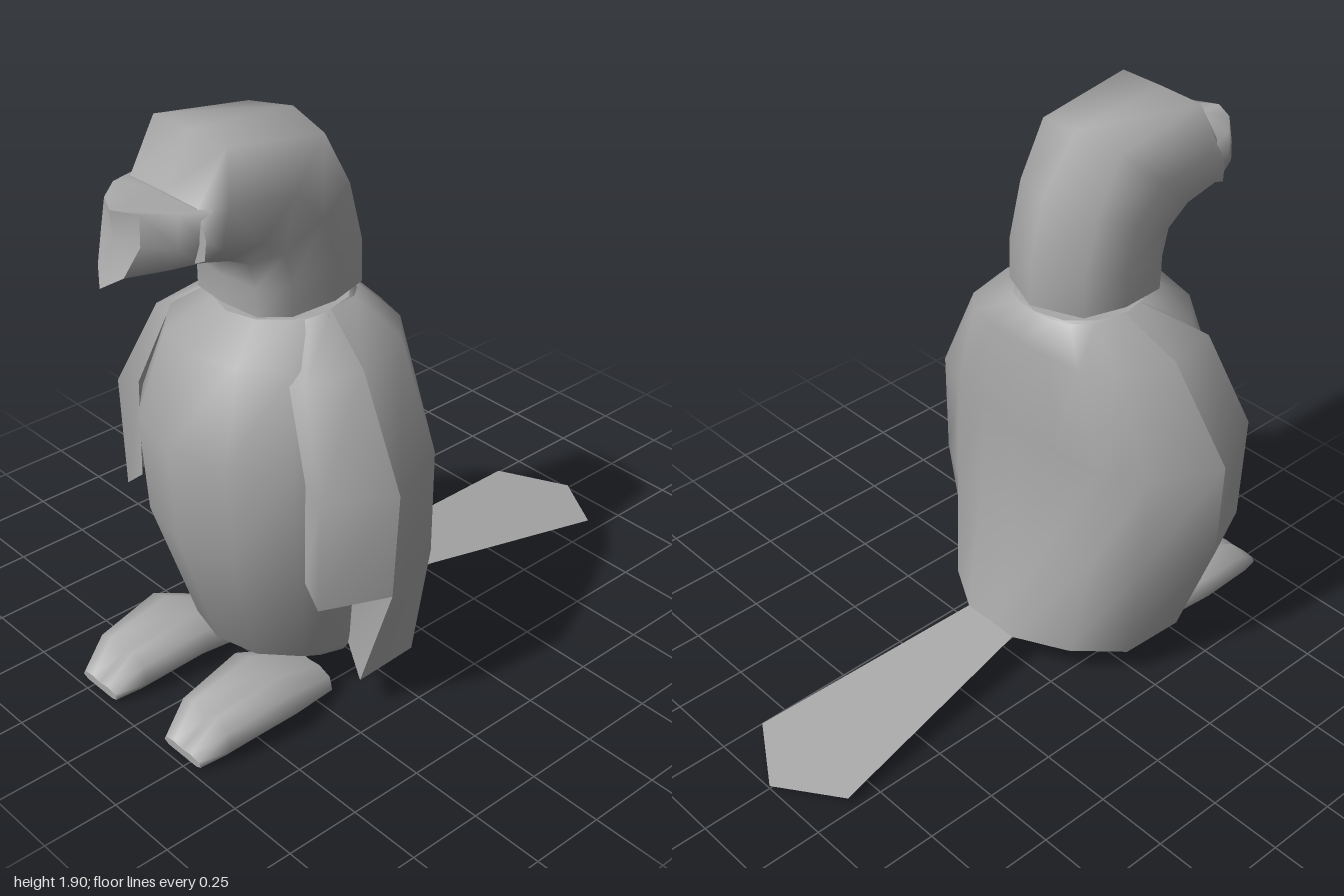
import * as THREE from 'three';

const grey = new THREE.MeshStandardMaterial({ color: 0xa8a8a8, side: THREE.DoubleSide });
grey.name = 'plain grey';

// Skin a surface over rows of [x, y, z] points; closed rows wrap round and get sharp end caps.
function loft(name, rows, closed) {
  const n = rows[0].length, pos = rows.flat(2), idx = [];
  for (let i = 0; i < rows.length - 1; i++) {
    for (let j = 0; j < (closed ? n : n - 1); j++) {
      const a = i * n + j, b = i * n + (j + 1) % n;
      idx.push(a, a + n, b, b, a + n, b + n);
    }
  }
  if (closed) [rows[0], rows[rows.length - 1]].forEach((ring, end) => {
    const start = pos.length / 3;
    const mid = [0, 1, 2].map(k => ring.reduce((s, p) => s + p[k], 0) / n);
    pos.push(...ring.flat(), ...mid);
    for (let j = 0; j < n; j++) {
      const a = start + j, b = start + (j + 1) % n;
      idx.push(start + n, ...(end ? [b, a] : [a, b]));
    }
  });
  const g = new THREE.BufferGeometry();
  g.setAttribute('position', new THREE.Float32BufferAttribute(pos, 3));
  g.setIndex(idx);
  g.computeVertexNormals();
  const mesh = new THREE.Mesh(g, grey);
  mesh.name = name;
  return mesh;
}

const flip = ([x, y, z]) => [-x, y, z];
// Half ring from the centre line to the centre line, completed on the other side.
const wholeRing = half => [...half, ...half.slice(1, -1).reverse().map(flip)];

export function createModel() {
  const model = new THREE.Group();

  // Body: height, half width, back z, front z
  const body = [
    [0.04, 0.19, 0.14, 0.45], [0.17, 0.3, 0.11, 0.66], [0.6, 0.41, 0.09, 0.79],
    [0.93, 0.42, 0.09, 0.81], [1.22, 0.33, 0.09, 0.72], [1.31, 0.2, 0.14, 0.57],
  ].map(([y, w, b, f]) => Array.from({ length: 12 }, (_, k) => {
    const a = k * Math.PI / 6;
    return [Math.sin(a) * w, y, (b + f) / 2 - Math.cos(a) * (f - b) / 2];
  }));
  model.add(loft('body', body, true));

  const neck = new THREE.Mesh(new THREE.CylinderGeometry(0.13, 0.13, 0.1, 10), grey);
  neck.name = 'neck';
  neck.scale.z = 0.85;
  neck.position.set(0, 1.33, 0.35);
  model.add(neck);

  // Head: sections turning from upright neck to forward face.
  // Back z, y; front z, y; half width; flatness of the crown
  const head = [
    [0.12, 1.34, 0.58, 1.34, 0.21, 0], [0.12, 1.49, 0.58, 1.43, 0.21, 0],
    [0.17, 1.7, 0.6, 1.51, 0.21, 0], [0.3, 1.875, 0.67, 1.54, 0.21, 0.5],
    [0.67, 1.905, 0.74, 1.56, 0.205, 0.95], [0.77, 1.75, 0.78, 1.57, 0.19, 0.95],
  ].map(([bz, by, fz, fy, w, flat]) => wholeRing(
    [[0, 0], [0.8, 0.15 * (1 - flat)], [1, 0.46], [0.97, 0.8], [0.65, 0.97], [0, 1]]
      .map(([x, t]) => [x * w, by + (fy - by) * t, bz + (fz - bz) * t])));
  model.add(loft('head', head, true));

  // Hooked beak, base to tip
  model.add(loft('beak', [
    [[0, 1.745, 0.74], [0.18, 1.745, 0.74], [0.165, 1.65, 0.76], [0.14, 1.58, 0.77], [0, 1.57, 0.77]],
    [[0, 1.75, 0.87], [0.15, 1.75, 0.83], [0.15, 1.65, 0.84], [0.12, 1.58, 0.85], [0, 1.555, 0.88]],
    [[0, 1.75, 0.95], [0.08, 1.75, 0.91], [0.09, 1.66, 0.92], [0.06, 1.57, 0.96], [0, 1.53, 1]],
  ].map(wholeRing), true));

  // Folded wings wrapping the back as one open shell, hem upward
  const hem = [[0, 0.14, -0.05], [0.11, 0.14, -0.05], [0.28, 0.13, 0.05], [0.41, 0.12, 0.2], [0.42, 0.12, 0.43]];
  const low = [[0, 0.52, 0.04], [0.17, 0.52, 0.06], [0.33, 0.52, 0.1], [0.47, 0.52, 0.18], [0.565, 0.52, 0.43]];
  const mid = [[0, 0.9, 0.06], [0.17, 0.89, 0.08], [0.33, 0.88, 0.11], [0.48, 0.88, 0.18], [0.585, 0.88, 0.42]];
  const high = [[0, 1.23, 0.07], [0.12, 1.23, 0.075], [0.24, 1.22, 0.1], [0.33, 1.21, 0.18], [0.385, 1.2, 0.38]];
  const top = [[0, 1.31, 0.14], [0.07, 1.31, 0.145], [0.13, 1.31, 0.17], [0.18, 1.31, 0.23], [0.2, 1.31, 0.34]];
  const wholeRow = half => [...half.slice(1).reverse().map(flip), ...half];
  model.add(loft('wingsAndBack', [hem, low, mid, high, top].map(wholeRow), false));

  // Front lobe of each wing, ending above the hem, and the lower inner flap
  const lobe = [
    [low[4], [0.47, 0.52, 0.64], [0.4, 0.58, 0.63]],
    [mid[4], [0.485, 0.9, 0.64], [0.4, 0.92, 0.62]],
    [high[4], [0.35, 1.2, 0.57], [0.29, 1.18, 0.58]],
    [top[4], [0.2, 1.31, 0.42], [0.18, 1.3, 0.44]],
  ];
  const flap = [
    [hem[4], [0.28, 0.17, 0.36]],
    [low[4], [0.38, 0.52, 0.42]],
  ];
  for (const side of ['left', 'right']) {
    const place = rows => side === 'left' ? rows : rows.map(r => r.map(flip).reverse());
    model.add(loft(side + 'WingFront', place(lobe), false));
    model.add(loft(side + 'WingFlap', place(flap), false));

    // Foot with two toes: z, half width, bottom y, top y, groove depth, centre x
    const foot = [
      [0.975, 0.09, 0.005, 0.035, 0.005, 0.215], [0.88, 0.125, 0.01, 0.13, 0.035, 0.215],
      [0.65, 0.155, 0.04, 0.17, 0.02, 0.215], [0.45, 0.11, 0, 0.09, 0.005, 0.2],
    ].map(([z, w, b, t, groove, c]) => {
      const half = [[0, b], [0.75 * w, b], [w, b + (t - b) * 0.3], [w * 0.9, b + (t - b) * 0.8],
        [w * 0.45, t], [0, t - groove]].map(([x, y]) => [x, y, z]);
      const s = side === 'left' ? c : -c;
      return wholeRing(half).map(([x, y, zz]) => [x + s, y, zz]);
    });
    model.add(loft(side + 'Foot', foot, true));
  }

  // Flat tail feather fan
  const tailShape = new THREE.Shape([[-0.08, -0.1], [0.08, -0.1], [0.11, 0.05], [0.225, 0.86], [0, 1], [-0.225, 0.86], [-0.11, 0.05]]
    .map(([x, y]) => new THREE.Vector2(x, y)));
  const tail = new THREE.Mesh(new THREE.ShapeGeometry(tailShape), grey);
  tail.name = 'tail';
  tail.geometry.rotateX(-Math.PI / 2);
  const p = tail.geometry.attributes.position;
  for (let i = 0; i < p.count; i++) p.setY(i, 0.147 + 0.136 * p.getZ(i));
  tail.geometry.computeVertexNormals();
  model.add(tail);

  return model;
}
